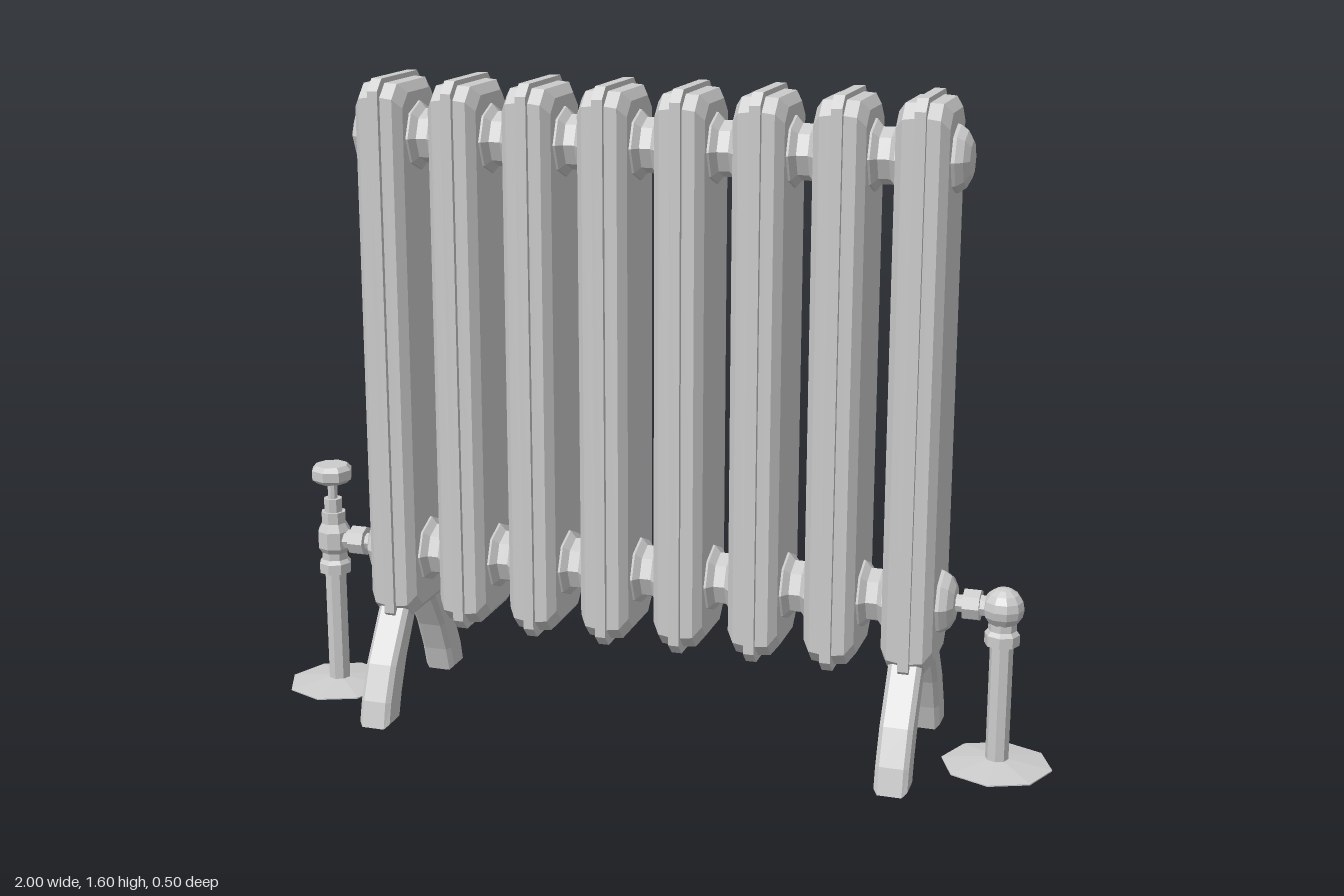
import * as THREE from 'three';

const mat = new THREE.MeshStandardMaterial({ color: 0xcccccc, flatShading: true });
const COUNT = 8, SPAN = 0.655, STEP = (2 * SPAN) / (COUNT - 1);
const TOP_Y = 1.455, LOW_Y = 0.402, VALVE_X = 0.865;

function add(parent, name, geometry, x = 0, y = 0, z = 0) {
  const mesh = new THREE.Mesh(geometry, mat);
  mesh.name = name;
  mesh.position.set(x, y, z);
  parent.add(mesh);
  return mesh;
}

// Eight-sided turned part from [radius, height] pairs
function turned(profile, sides = 8) {
  return new THREE.LatheGeometry(profile.map(([r, h]) => new THREE.Vector2(r, h)), sides);
}

// The same, turned about the x axis
const turnedX = (profile) => turned(profile).rotateZ(-Math.PI / 2);

// Radiator section: chamfered outline lofted across x, with a raised centre rib
function sectionGeometry() {
  // [x, inset from the outer outline, corner chamfer]
  const half = [[0.013, 0, 0.028], [0.013, 0.012, 0.032], [0.043, 0.014, 0.034], [0.061, 0.036, 0.034]];
  const stations = [...half.map(([x, i, c]) => [-x, i, c]).reverse(), ...half];
  const positions = [], index = [];
  for (const [x, inset, c] of stations) {
    const w = 0.132 - inset, lo = 0.236 + inset, hi = 1.6 - inset;
    const ring = [[-w, lo + c], [-w, hi - c], [-w + c, hi], [w - c, hi],
      [w, hi - c], [w, lo + c], [w - c, lo], [-w + c, lo]];
    for (const [z, y] of ring) positions.push(x, y, z);
  }
  const last = (stations.length - 1) * 8;
  for (let s = 0; s < last; s += 8) {
    for (let j = 0; j < 8; j++) {
      const a = s + j, b = s + ((j + 1) % 8);
      index.push(a, b, b + 8, a, b + 8, a + 8);
    }
  }
  for (let j = 1; j < 7; j++) {
    index.push(0, j + 1, j);
    index.push(last, last + j, last + j + 1);
  }
  const g = new THREE.BufferGeometry();
  g.setAttribute('position', new THREE.Float32BufferAttribute(positions, 3));
  g.setIndex(index);
  g.computeVertexNormals();
  return g;
}

// Splayed foot, drawn in z-y and extruded across x
function legGeometry() {
  const shape = new THREE.Shape([[0.17, 0], [0.25, 0], [0.235, 0.065], [0.197, 0.15],
    [0.125, 0.255], [0.1, 0.29], [0.03, 0.27], [0.06, 0.235], [0.115, 0.145], [0.15, 0.065]]
    .map(([z, y]) => new THREE.Vector2(z, y)));
  const bevel = 0.011;
  return new THREE.ExtrudeGeometry(shape, {
    depth: 0.08 - 2 * bevel, bevelEnabled: true, bevelSegments: 1,
    bevelSize: bevel, bevelThickness: bevel, bevelOffset: -bevel,
  }).translate(0, 0, -0.04 + bevel).rotateY(-Math.PI / 2);
}

// Floor plate, riser pipe, collar and tail nut shared by both valves
function pipework(side) {
  const group = new THREE.Group();
  group.name = side > 0 ? 'leftPipework' : 'rightPipework';
  const x = side * VALVE_X;
  add(group, 'floorPlate', turned([[0, 0.003], [0.133, 0.003], [0.133, 0.006], [0.03, 0.021], [0, 0.021]]), x);
  add(group, 'riserPipe', turned([[0.028, 0.01], [0.028, 0.33]]), x);
  add(group, 'collar', turned([[0, 0.312], [0.042, 0.312], [0.042, 0.338], [0.034, 0.348],
    [0.034, 0.375], [0, 0.375]]), x);
  const tail = add(group, 'tailPipe', turnedX([[0.022, 0.73], [0.022, 0.772], [0.038, 0.772],
    [0.038, 0.812], [0.026, 0.812], [0.026, 0.86]]), 0, LOW_Y);
  if (side < 0) tail.rotation.y = Math.PI;
  return group;
}

export function createModel() {
  const model = new THREE.Group();
  model.name = 'radiator';

  // Repeated sections and the hubs that join them
  const section = sectionGeometry();
  const h = STEP / 2;
  const hub = turnedX([[0.085, -h + 0.058], [0.083, -h + 0.066], [0.066, -h + 0.08],
    [0.066, h - 0.08], [0.083, h - 0.066], [0.085, h - 0.058]]);
  for (let i = 0; i < COUNT; i++) {
    const x = -SPAN + i * STEP;
    add(model, 'section', section, x);
    if (i < COUNT - 1) {
      for (const y of [TOP_Y, LOW_Y]) add(model, 'joiningHub', hub, x + h, y);
    }
  }

  // End plugs, and a pair of feet under each end section
  const plug = turnedX([[0.082, 0.705], [0.077, 0.724], [0.065, 0.741], [0.042, 0.753], [0, 0.756]]);
  const leg = legGeometry();
  for (const side of [-1, 1]) {
    for (const y of [TOP_Y, LOW_Y]) {
      const mesh = add(model, 'endPlug', plug, 0, y);
      if (side < 0) mesh.rotation.y = Math.PI;
    }
    add(model, 'frontLeg', leg, side * SPAN);
    add(model, 'backLeg', leg, side * SPAN).rotation.y = Math.PI;
    model.add(pipework(side));
  }

  // Plain ball elbow on the left
  add(model, 'ballElbow', new THREE.SphereGeometry(0.05, 10, 8), VALVE_X, LOW_Y);

  // Control valve on the right: body, stem and hand wheel
  add(model, 'valveBody', turned([[0, 0.35], [0.03, 0.36], [0.043, 0.38], [0.043, 0.424],
    [0.032, 0.445], [0.032, 0.475], [0.024, 0.475], [0.024, 0.51], [0, 0.51]]), -VALVE_X);
  add(model, 'valveStem', turned([[0.013, 0.5], [0.013, 0.56]]), -VALVE_X);
  add(model, 'handWheel', turned([[0, 0.553], [0.04, 0.553], [0.053, 0.564], [0.053, 0.588],
    [0.042, 0.6], [0, 0.6]]), -VALVE_X);

  return model;
}
